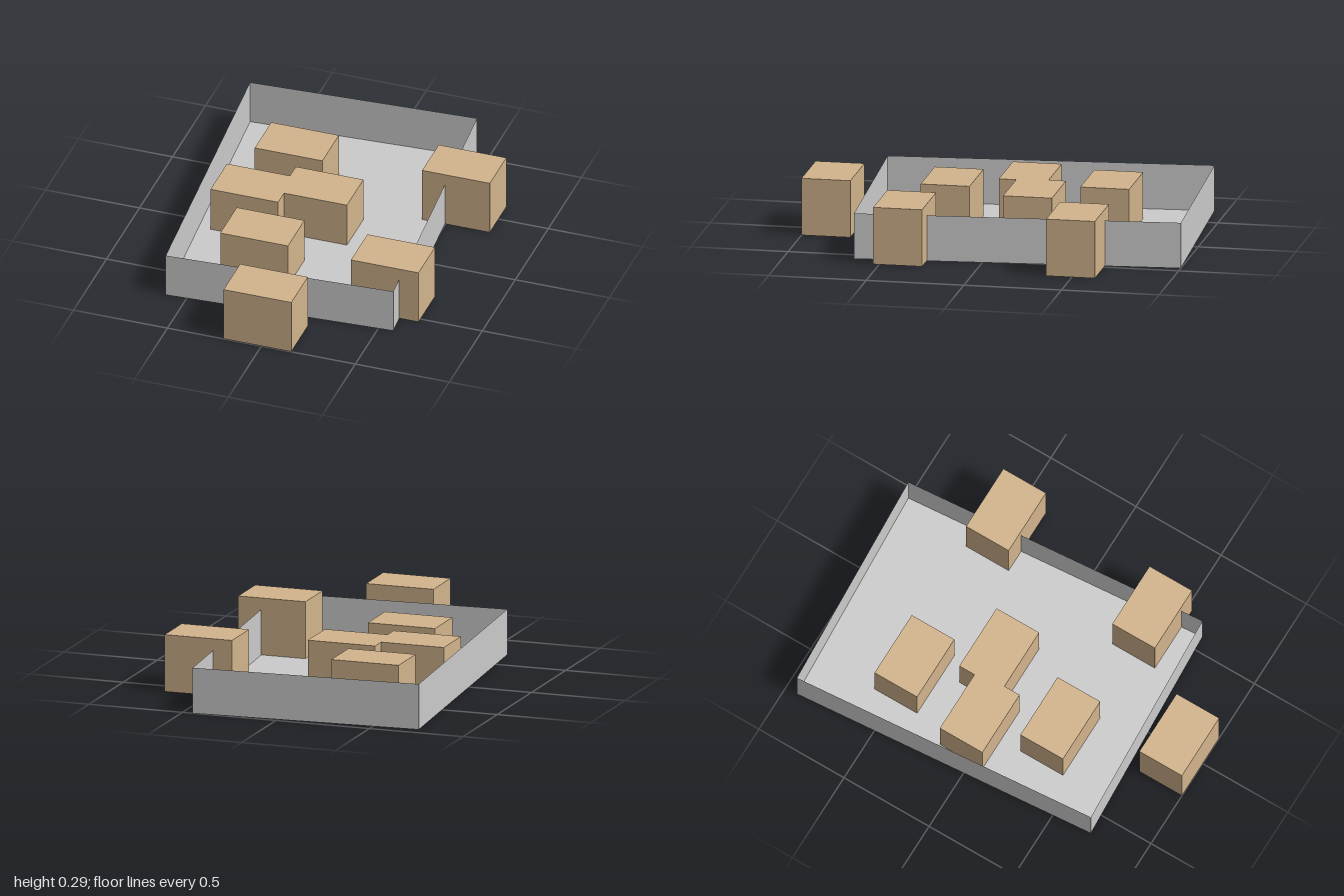
import * as THREE from 'three';

const WALL_HEIGHT = 0.235;
// Slightly skewed tray outline (x, z), going round from the back right corner
const CORNERS = [[-0.74, -0.935], [0.445, -1], [0.578, 0.647], [-0.61, 0.713]];

// Flat four-sided panel from its corners in order
function panel(name, points, material) {
  const geometry = new THREE.BufferGeometry();
  geometry.setAttribute('position', new THREE.Float32BufferAttribute(points.flat(), 3));
  geometry.setIndex([0, 1, 2, 0, 2, 3]);
  geometry.computeVertexNormals();
  const mesh = new THREE.Mesh(geometry, material);
  mesh.name = name;
  return mesh;
}

export function createModel() {
  const model = new THREE.Group();
  model.name = 'trayWithBoxes';
  const grey = new THREE.MeshStandardMaterial({ color: 0xcccccc, side: THREE.DoubleSide });
  const tan = new THREE.MeshStandardMaterial({ color: 0xd2b48c });

  // Open tray: floor and four thin walls
  const tray = new THREE.Group();
  tray.name = 'tray';
  const floorPoints = CORNERS.map(([x, z]) => [x, 0, z]).reverse();
  tray.add(panel('floor', floorPoints, grey));
  ['backWall', 'leftWall', 'frontWall', 'rightWall'].forEach((name, i) => {
    const [ax, az] = CORNERS[i];
    const [bx, bz] = CORNERS[(i + 1) % 4];
    tray.add(panel(name, [
      [ax, 0, az], [ax, WALL_HEIGHT, az], [bx, WALL_HEIGHT, bz], [bx, 0, bz],
    ], grey));
  });
  model.add(tray);

  // Boxes, resting just above the floor plane
  function addBoxes(name, height, places) {
    const geometry = new THREE.BoxGeometry(0.36, height, 0.25);
    places.forEach(([x, z], i) => {
      const box = new THREE.Mesh(geometry, tan);
      box.name = name + (i + 1);
      box.position.set(x, height / 2 + 0.001, z);
      model.add(box);
    });
  }
  // Low boxes inside the tray
  addBoxes('innerBox', 0.239, [[-0.335, -0.49], [-0.083, -0.145], [-0.418, -0.056], [-0.238, 0.308]]);
  // Taller boxes across the left wall and in front of the tray
  addBoxes('outerBox', 0.294, [[0.555, -0.493], [0.491, 0.405], [-0.021, 0.875]]);

  return model;
}
